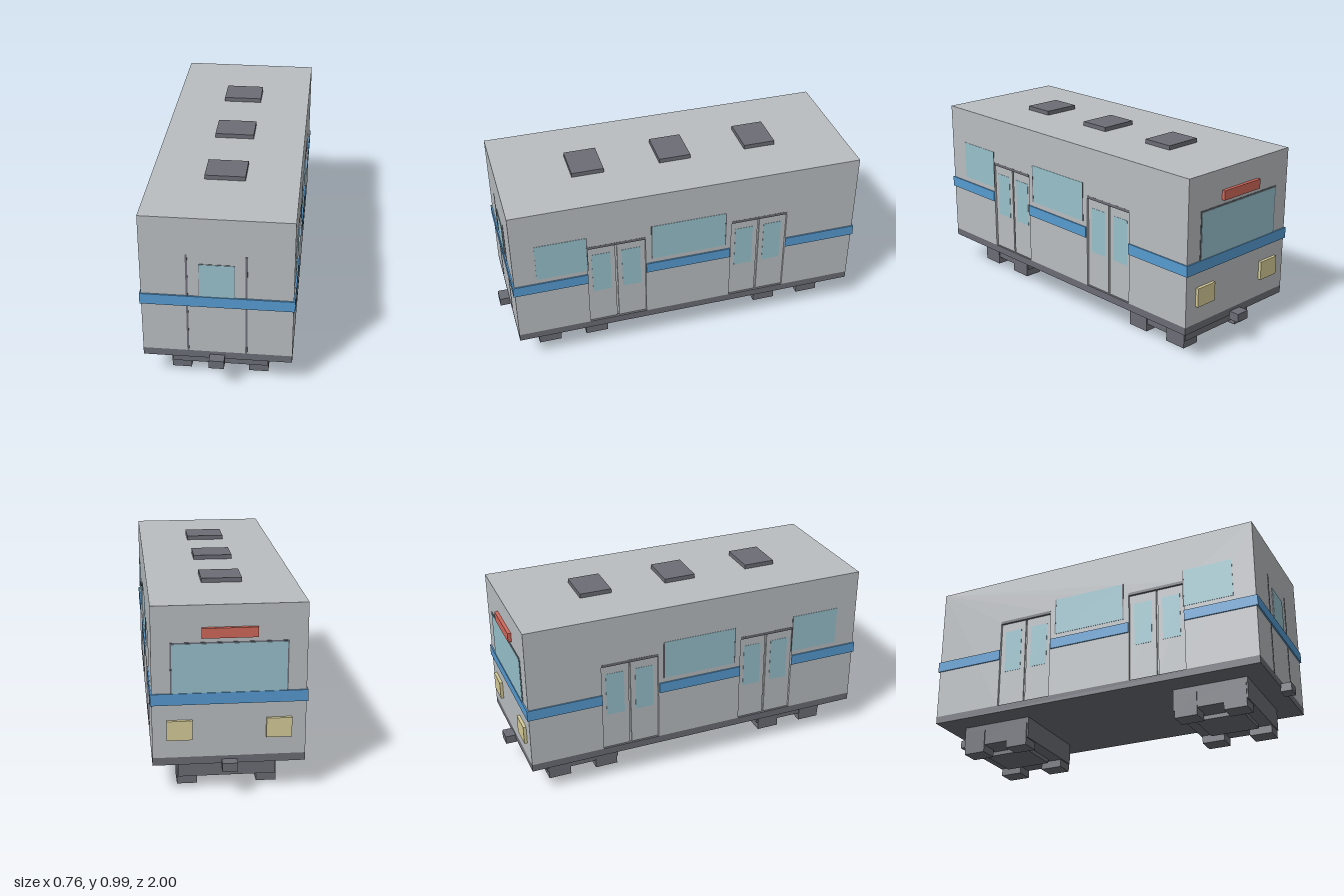
import * as THREE from 'three';

function paint(name, color) {
  const m = new THREE.MeshStandardMaterial({ color });
  m.name = name;
  return m;
}

export function createModel() {
  const grey = paint('body grey', 0xb9bdc0);
  const dark = paint('dark grey', 0x6b6d75);
  const blue = paint('stripe blue', 0x569ad0);
  const glass = paint('window glass', 0x97c0cb);
  const red = paint('sign red', 0xd0675a);
  const cream = paint('lamp cream', 0xd6cb98);

  const model = new THREE.Group();
  model.name = 'railCar';

  // Box given by its limits on each axis
  function box(name, mat, [x0, x1], [y0, y1], [z0, z1], parent = model) {
    const mesh = new THREE.Mesh(new THREE.BoxGeometry(x1 - x0, y1 - y0, z1 - z0), mat);
    mesh.position.set((x0 + x1) / 2, (y0 + y1) / 2, (z0 + z1) / 2);
    mesh.name = name;
    parent.add(mesh);
    return mesh;
  }
  // Same, on either side of the car (s = 1 or -1)
  function sideBox(name, mat, s, [a, b], y, z, parent) {
    return box(name, mat, s > 0 ? [a, b] : [-b, -a], y, z, parent);
  }

  const W = 0.375, L = 0.945, FLOOR = 0.2, ROOF = 0.97;
  const DOORS = [[0.24, 0.555], [-0.55, -0.235]];

  // Body core and floor
  box('bodyCore', grey, [-0.355, 0.355], [FLOOR, ROOF], [-L, L]);
  box('floor', dark, [-W, W], [0.16, FLOOR], [-L, L]);

  // Outer wall outline with door openings
  const outline = [[-L, FLOOR], [-0.55, FLOOR], [-0.55, 0.71], [-0.235, 0.71], [-0.235, FLOOR],
    [0.24, FLOOR], [0.24, 0.71], [0.555, 0.71], [0.555, FLOOR], [L, FLOOR], [L, ROOF], [-L, ROOF]];
  const wallShape = new THREE.Shape(outline.map(([z, y]) => new THREE.Vector2(-z, y)).reverse());

  for (const s of [1, -1]) {
    const side = new THREE.Group();
    side.name = s > 0 ? 'leftSide' : 'rightSide';
    model.add(side);

    const wallGeo = new THREE.ExtrudeGeometry(wallShape, { depth: 0.02, bevelEnabled: false });
    wallGeo.rotateY(Math.PI / 2); // shape x becomes -z, depth becomes x
    const wall = new THREE.Mesh(wallGeo, grey);
    wall.position.x = s > 0 ? 0.355 : -W;
    wall.name = 'wall';
    side.add(wall);

    // Recessed sliding doors with a groove between the leaves
    for (const [z0, z1] of DOORS) {
      const mid = (z0 + z1) / 2;
      sideBox('doorLintel', dark, s, [0.355, 0.3755], [0.695, 0.711], [z0, z1], side);
      for (const t of [1, -1]) {
        const span = (a, b) => (t > 0 ? [mid + a, mid + b] : [mid - b, mid - a]);
        sideBox('doorLeaf', grey, s, [0.35, 0.363], [FLOOR, 0.695], span(0.005, 0.157), side);
        sideBox('doorWindow', glass, s, [0.362, 0.3645], [0.4, 0.645], span(0.031, 0.131), side);
      }
    }

    // Side windows and their dark edge strips
    for (const z of [[0.555, 0.825], [-0.2, 0.205]])
      sideBox('sideWindow', glass, s, [0.374, 0.377], [0.56, 0.772], z, side);
    for (const z of [0.553, 0.206, -0.203])
      sideBox('windowEdge', dark, s, [0.374, 0.3775], [0.56, 0.772], [z - 0.003, z + 0.003], side);

    // Blue stripe between the doors
    for (const z of [[0.555, 0.953], [-0.23, 0.238], [-0.953, -0.55]])
      sideBox('sideStripe', blue, s, [0.374, 0.382], [0.475, 0.533], z, side);
  }

  // Stripes around both ends
  box('frontStripe', blue, [-0.382, 0.382], [0.475, 0.533], [0.944, 0.953]);
  box('backStripe', blue, [-0.382, 0.382], [0.475, 0.533], [-0.953, -0.944]);

  // Front gangway door
  for (const x of [-0.147, 0.145])
    box('frontDoorLine', dark, [x - 0.005, x + 0.005], [FLOOR, 0.77], [0.94, 0.947]);
  box('frontWindowFrame', dark, [-0.088, 0.088], [0.53, 0.719], [0.944, 0.947]);
  box('frontWindow', glass, [-0.086, 0.086], [0.53, 0.717], [0.945, 0.949]);

  // Windscreen, destination sign and lamps at the back
  box('windscreenFrame', dark, [-0.285, 0.285], [0.53, 0.787], [-0.947, -0.94]);
  box('windscreen', glass, [-0.278, 0.278], [0.53, 0.78], [-0.949, -0.942]);
  box('sign', red, [-0.135, 0.135], [0.81, 0.86], [-0.963, -0.944]);
  for (const x of [[0.18, 0.305], [-0.305, -0.18]])
    box('lamp', cream, x, [0.295, 0.395], [-0.961, -0.944]);

  // Roof vents
  for (const z of [-0.475, 0, 0.473])
    box('roofVent', dark, [-0.103, 0.103], [0.965, 0.993], [z - 0.086, z + 0.086]);

  // Couplers and bogies at each end
  for (const s of [1, -1]) {
    const span = (a, b) => (s > 0 ? [a, b] : [-b, -a]);
    box('coupler', dark, [-0.038, 0.038], [0.137, 0.182], span(0.94, 1));

    const bogie = new THREE.Group();
    bogie.name = s > 0 ? 'frontBogie' : 'backBogie';
    model.add(bogie);
    box('bogieFrame', dark, [-0.245, 0.245], [0.042, 0.162], span(0.428, 0.833), bogie);
    box('bogiePlate', dark, [-0.118, 0.118], [0.02, 0.045], span(0.5, 0.765), bogie);
    for (const x of [[0.15, 0.25], [-0.25, -0.15]])
      for (const z of [[0.436, 0.56], [0.703, 0.826]])
        box('wheelBlock', dark, x, [0, 0.128], span(...z), bogie);
  }
  return model;
}
